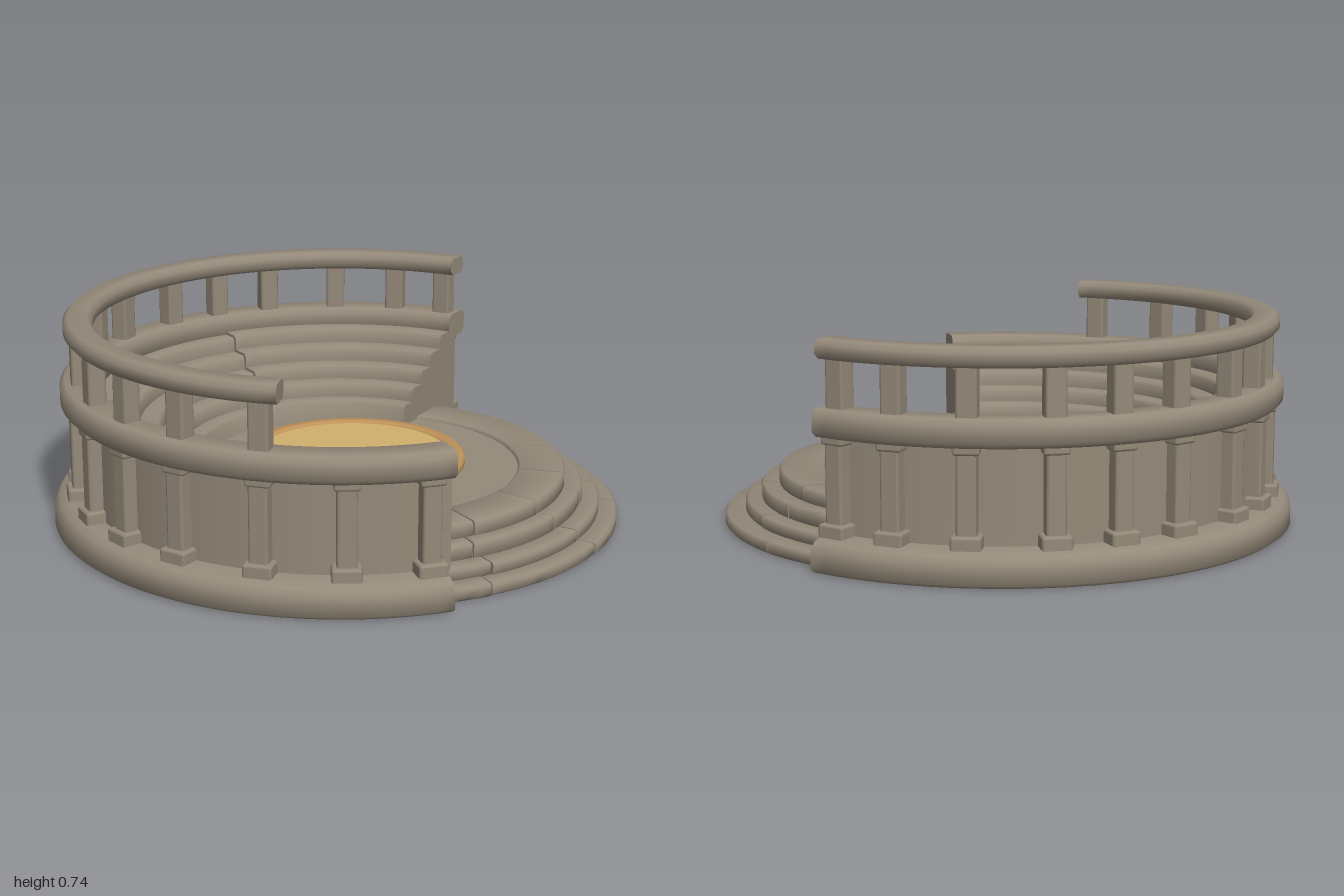
import * as THREE from 'three';
import { toCreasedNormals } from 'three/addons/utils/BufferGeometryUtils.js';
import { RoundedBoxGeometry } from 'three/addons/geometries/RoundedBoxGeometry.js';

const material = (name, color) => {
  const m = new THREE.MeshStandardMaterial({ color });
  m.name = name;
  return m;
};

let seed = 7;
const random = () => (seed = (seed * 16807) % 2147483647) / 2147483647;
const rad = THREE.MathUtils.degToRad;

// Closed (radius, height) rectangle with chamfered corners, counter-clockwise
const bevelRect = (r0, r1, y0, y1, b) => [
  [r0 + b, y0], [r1 - b, y0], [r1, y0 + b], [r1, y1 - b],
  [r1 - b, y1], [r0 + b, y1], [r0, y1 - b], [r0, y0 + b],
];

// Sweeps a closed profile around y from angle a0 to a1 (degrees, +x towards +z), capping the ends
function sweep(profile, a0, a1) {
  const full = a1 - a0 >= 360;
  const steps = Math.max(2, Math.ceil((a1 - a0) / 3));
  const n = profile.length;
  const pos = [], index = [];
  for (let i = 0; i <= steps; i++) {
    const a = rad(a0 + ((a1 - a0) * i) / steps);
    for (const [r, y] of profile) pos.push(r * Math.cos(a), y, r * Math.sin(a));
  }
  for (let i = 0; i < steps; i++) {
    for (let j = 0; j < n; j++) {
      const p = i * n + j, q = i * n + ((j + 1) % n);
      index.push(p, q, p + n, q, q + n, p + n);
    }
  }
  if (!full) {
    const faces = THREE.ShapeUtils.triangulateShape(profile.map(([r, y]) => new THREE.Vector2(r, y)), []);
    const last = steps * n;
    for (const [a, b, c] of faces) index.push(a, c, b, last + a, last + b, last + c);
  }
  const g = new THREE.BufferGeometry();
  g.setAttribute('position', new THREE.Float32BufferAttribute(pos, 3));
  g.setIndex(index);
  return toCreasedNormals(g, 0.95);
}

export function createModel() {
  const stone = material('stone', 0x958a7a);
  const sand = material('sand', 0xd2b06e);
  const ochre = material('ochre rim', 0xc0935b);

  const model = new THREE.Group();
  model.name = 'amphitheatre';
  const section = (name, x, z) => {
    const g = new THREE.Group();
    g.name = name;
    g.position.set(x, 0, z);
    model.add(g);
    return g;
  };
  const add = (parent, name, geometry, mat = stone) => {
    const m = new THREE.Mesh(geometry, mat);
    m.name = name;
    parent.add(m);
    return m;
  };
  // Box standing on a circle and turned to face outwards
  const radialBox = (parent, name, angle, r, y0, y1, width, depth, bevel = 0.01) => {
    const m = add(parent, name, new RoundedBoxGeometry(depth, y1 - y0, width, 1, bevel));
    const a = rad(angle);
    m.position.set(r * Math.cos(a), (y0 + y1) / 2, r * Math.sin(a));
    m.rotation.y = -a;
  };

  // Entrance steps: solid cores with separate worn blocks laid on them
  const stepGroup = section('entranceSteps', 0.08, 0.05);
  const levels = [
    [0.91, 0.8, 0, 0.045],
    [0.845, 0.74, 0.04, 0.09],
    [0.785, 0.68, 0.08, 0.14],
    [0.725, 0.56, 0.13, 0.19],
  ];
  levels.forEach(([outer, inner, y0, y1], k) => {
    const top = k === 3 ? 0.175 : y1 - 0.008;
    const core = add(stepGroup, 'stepCore', new THREE.CylinderGeometry(outer - 0.01, outer - 0.01, top - y0, 96));
    core.position.y = (y0 + top) / 2;
    let a = -36;
    while (a < 108) {
      let end = a + 20 + random() * 16;
      if (end > 96) end = 108;
      const dr = (random() - 0.5) * 0.01, dy = random() * -0.005;
      add(stepGroup, 'stepBlock', sweep(bevelRect(inner, outer + dr, y0, y1 + dy, 0.008), a, end - 0.4));
      a = end;
    }
  });

  // Round stage with a raised rim
  const stage = section('stage', 0.078, 0.005);
  add(stage, 'stageRim', sweep(bevelRect(0.34, 0.4, 0.15, 0.207, 0.012), 0, 360), ochre);
  const disc = add(stage, 'stageFloor', new THREE.CylinderGeometry(0.347, 0.347, 0.05, 96), sand);
  disc.position.y = 0.175;

  // Seating tiers in three slightly offset sections
  const bowl = section('bowl', 0.02, 0.01);
  const radii = [0.49, 0.55, 0.625, 0.7, 0.78, 0.86];
  const heights = [0.25, 0.3, 0.35, 0.402, 0.455];
  const tierProfile = (dr, dy) => {
    const p = [[radii[0] + dr, 0.1], [0.905, 0.1], [0.905, 0.47], [0.86, 0.47]];
    for (let k = 4; k >= 0; k--) {
      const y = heights[k] + dy, r = radii[k] + dr;
      p.push([k === 4 ? 0.86 : radii[k + 1] + dr, y], [r + 0.012, y], [r, y - 0.012]);
    }
    return p;
  };
  for (const [a0, a1, dr, dy] of [[98.5, 193, 0, 0], [201, 270, 0.006, -0.006], [270, 331, -0.004, 0.004]]) {
    add(bowl, 'seatingTiers', sweep(tierProfile(dr, dy), a0, a1));
  }

  // Narrow aisle stair between two seating sections
  const stairs = 9;
  for (let i = 0; i < stairs; i++) {
    const r = 0.475 + i * 0.043;
    add(bowl, 'aisleStep', sweep(bevelRect(r, 0.9, 0.1, 0.225 + i * 0.029, 0.006), 193, 201));
  }

  // Outer plinth, wall-top ledge and upper rail
  add(bowl, 'plinth', sweep([
    [0.82, 0], [1.0, 0], [1.015, 0.012], [1.012, 0.075], [0.995, 0.098], [0.965, 0.11], [0.82, 0.11],
  ], 100.5, 330));
  add(bowl, 'ledge', sweep(bevelRect(0.85, 0.98, 0.43, 0.522, 0.018), 99.5, 331));
  add(bowl, 'upperRail', sweep(bevelRect(0.86, 0.962, 0.677, 0.742, 0.017), 133, 331));

  // Balusters carry the rail; pilasters line up below them on the outer wall
  const posts = [137, 155, 170.5, 185, 200, 213, 226, 239, 256, 269.5, 283, 300, 315, 327.5];
  for (const a of posts) radialBox(bowl, 'baluster', a, 0.91, 0.51, 0.69, 0.07, 0.065);
  for (const a of [103.5, 120, ...posts]) {
    radialBox(bowl, 'pilaster', a, 0.91, 0.1, 0.44, 0.066, 0.085);
    radialBox(bowl, 'pilasterFoot', a, 0.92, 0.1, 0.152, 0.1, 0.1);
    radialBox(bowl, 'pilasterCap', a, 0.915, 0.405, 0.44, 0.086, 0.09);
  }

  return model;
}
